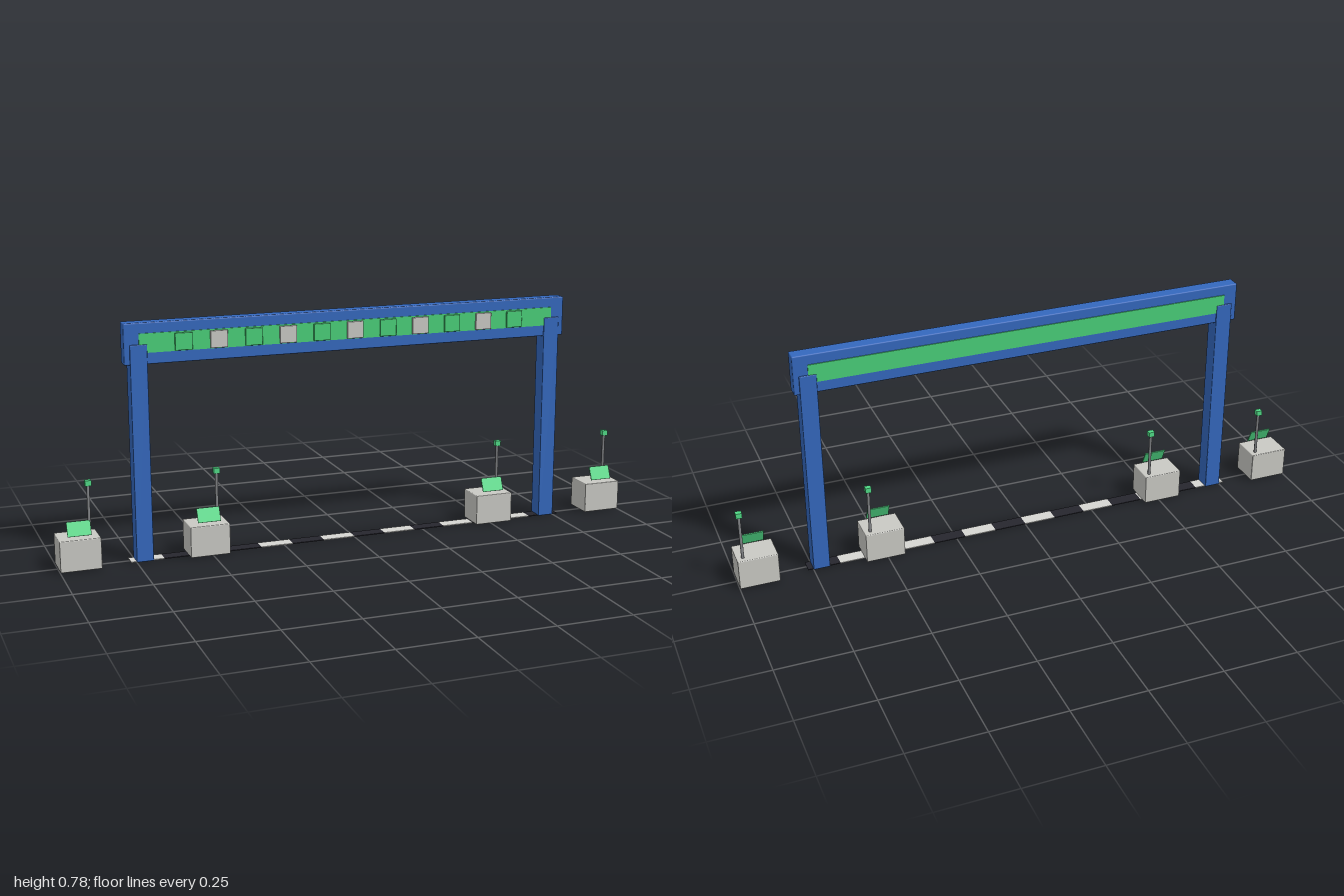
import * as THREE from 'three';
import { RoundedBoxGeometry } from 'three/addons/geometries/RoundedBoxGeometry.js';

const mat = (name, color) => {
  const m = new THREE.MeshStandardMaterial({ color });
  m.name = name;
  return m;
};

export function createModel() {
  const blue = mat('blue paint', 0x3468bd);
  const green = mat('panel green', 0x49cf78);
  const screenGreen = mat('screen green', 0x50da86);
  const grey = mat('light grey', 0xc9c9c4);
  const steel = mat('steel grey', 0x85878a);
  const dark = mat('stripe black', 0x26262e);
  const light = mat('stripe white', 0xd6d6d2);

  const model = new THREE.Group();
  model.name = 'finishGantry';

  const add = (parent, name, geometry, material, x, y, z) => {
    const mesh = new THREE.Mesh(geometry, material);
    mesh.name = name;
    mesh.position.set(x, y, z);
    parent.add(mesh);
    return mesh;
  };
  const box = (w, h, d) => new THREE.BoxGeometry(w, h, d);
  const rounded = (w, h, d, r = 0.004) => new RoundedBoxGeometry(w, h, d, 2, r);

  // Gantry: two pillars and the beam
  for (const side of [-1, 1]) {
    add(model, 'pillar', rounded(0.056, 0.71, 0.056, 0.003), blue, side * 0.722, 0.355, 0);
  }
  add(model, 'beam', rounded(1.536, 0.133, 0.046), blue, 0, 0.7125, 0);

  // Banner panels on both faces of the beam
  for (const side of [-1, 1]) {
    add(model, 'bannerPanel', box(1.44, 0.062, 0.005), green, 0, 0.714, side * 0.0235);
  }

  // Raised tiles along the front banner, alternating green and grey
  for (let i = -5; i <= 5; i++) {
    add(model, 'bannerTile', rounded(0.057, 0.056, 0.008, 0.002),
      i % 2 === 0 ? grey : green, i * 0.1155, 0.713, 0.029);
  }

  // Chequered line on the ground
  const count = 14, step = 1.536 / count;
  for (let i = 0; i < count; i++) {
    add(model, 'groundStripe', box(step, 0.003, 0.046),
      i % 2 ? dark : light, -0.768 + (i + 0.5) * step, 0.0015, 0);
  }

  // Timing stations: case, tilted screen, mast and beacon
  for (const x of [-0.933, -0.51, 0.508, 0.933]) {
    const station = new THREE.Group();
    station.name = 'timingStation';
    station.position.x = x;
    add(station, 'case', rounded(0.133, 0.103, 0.104, 0.003), grey, 0, 0.0535, 0);
    const screen = add(station, 'screen', box(0.076, 0.048, 0.004), screenGreen, 0, 0.136, 0.03);
    screen.rotation.x = -0.42;
    add(station, 'mast', new THREE.CylinderGeometry(0.005, 0.005, 0.155, 12), steel, 0.045, 0.18, -0.029);
    add(station, 'beacon', box(0.02, 0.018, 0.018), screenGreen, 0.045, 0.266, -0.029);
    model.add(station);
  }

  return model;
}
